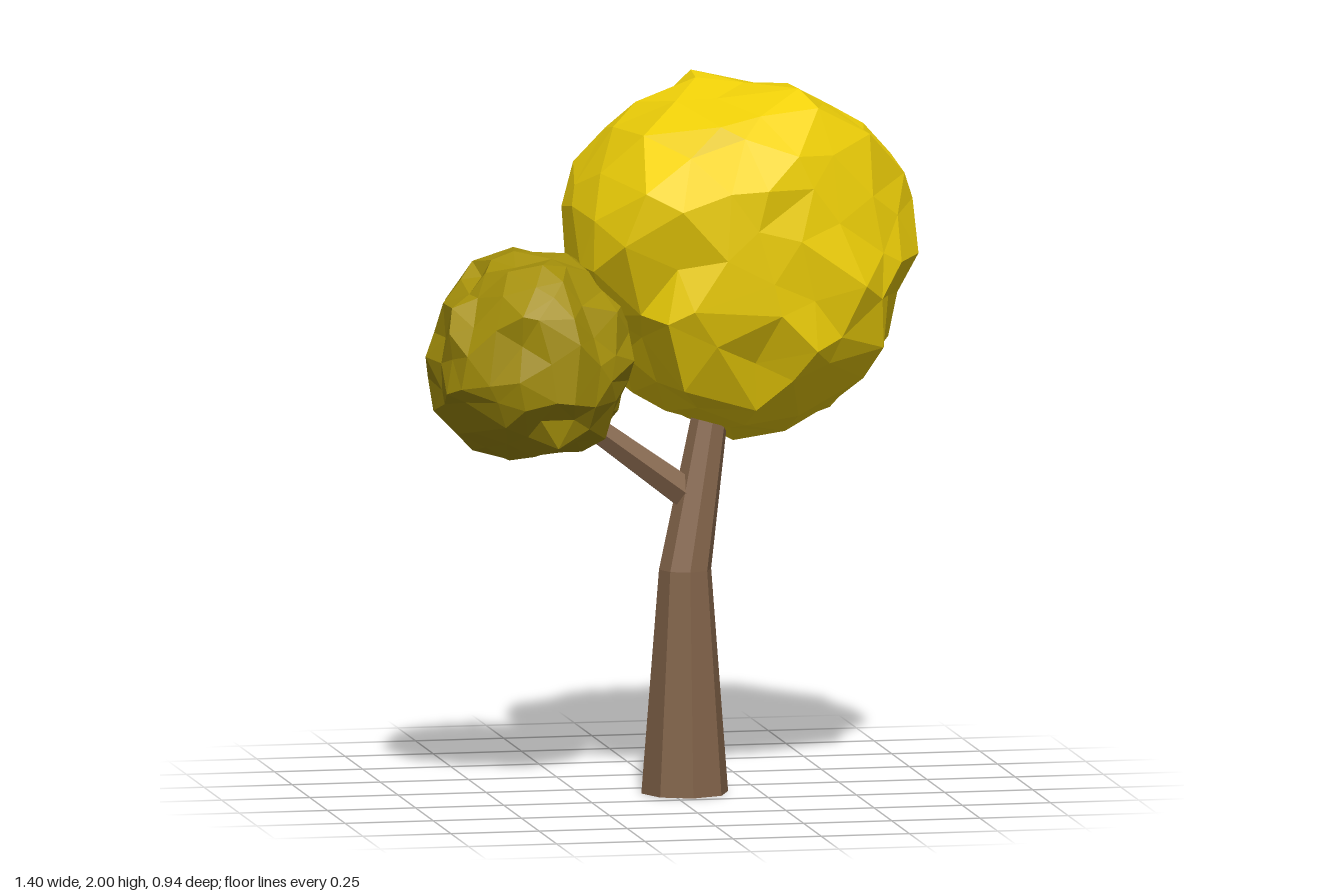
import * as THREE from 'three';
import { mergeVertices } from 'three/addons/utils/BufferGeometryUtils.js';

const flat = (color) => new THREE.MeshStandardMaterial({ color, flatShading: true });

// Small seeded random generator, values in -1..1
function seeded(seed) {
  let s = seed;
  return () => {
    s = (s * 16807) % 2147483647;
    return (s / 2147483647) * 2 - 1;
  };
}

// Faceted foliage ball: an icosphere whose radius follows the nearby tips, with
// jitter kept inside the box min..max; the vertex nearest each tip moves onto it
function crown({ name, color, min, max, seed, jitter, tips }) {
  let geo = new THREE.IcosahedronGeometry(1, 3);
  geo.deleteAttribute('normal');
  geo.deleteAttribute('uv');
  geo = mergeVertices(geo, 1e-3);

  const box = new THREE.Box3(new THREE.Vector3(...min), new THREE.Vector3(...max));
  const center = box.getCenter(new THREE.Vector3());
  const points = tips.map((t) => new THREE.Vector3(...t));
  const rays = points.map((p) => p.clone().sub(center));
  const rand = seeded(seed);
  const pos = geo.attributes.position;
  const v = new THREE.Vector3();

  for (let i = 0; i < pos.count; i++) {
    v.fromBufferAttribute(pos, i);
    let sum = 0;
    let weights = 0;
    for (const ray of rays) {
      const w = Math.exp(12 * (v.dot(ray) / ray.length() - 1));
      sum += w * ray.length();
      weights += w;
    }
    const radius = (0.97 * sum) / weights;
    v.add(new THREE.Vector3(rand(), rand(), rand()).multiplyScalar(jitter));
    v.multiplyScalar(radius).add(center);
    box.clampPoint(v, v);
    pos.setXYZ(i, v.x, v.y, v.z);
  }

  for (const point of points) {
    let nearest = 0;
    let best = Infinity;
    for (let i = 0; i < pos.count; i++) {
      const d = v.fromBufferAttribute(pos, i).distanceTo(point);
      if (d < best) [best, nearest] = [d, i];
    }
    pos.setXYZ(nearest, point.x, point.y, point.z);
  }
  geo.computeVertexNormals();
  const mesh = new THREE.Mesh(geo, flat(color));
  mesh.name = name;
  return mesh;
}

// Bent tapering trunk, open below: each ring is [x, y, z, radius], top first
function bentTrunk(rings, sides) {
  const geo = new THREE.CylinderGeometry(1, 1, 1, sides, rings.length - 1, true);
  const pos = geo.attributes.position;
  for (let i = 0; i < pos.count; i++) {
    const [x, y, z, r] = rings[Math.round((0.5 - pos.getY(i)) * (rings.length - 1))];
    pos.setXYZ(i, x + pos.getX(i) * r, y, z + pos.getZ(i) * r);
  }
  geo.computeVertexNormals();
  return geo;
}

export function createModel() {
  const tree = new THREE.Group();
  tree.name = 'tree';
  const bark = flat(0x83644a);
  bark.side = THREE.DoubleSide;

  // Trunk, leaning above its bend
  const trunk = new THREE.Mesh(bentTrunk([
    [0.14, 1.15, 0.05, 0.047],
    [0.04, 0.63, 0.12, 0.074],
    [0.042, 0, 0.105, 0.123],
  ], 8), bark);
  trunk.name = 'trunk';
  tree.add(trunk);

  // Side branch reaching into the small crown
  const from = new THREE.Vector3(0.08, 0.815, 0.09);
  const to = new THREE.Vector3(-0.32, 1.11, 0.08);
  const branch = new THREE.Mesh(
    new THREE.CylinderGeometry(0.033, 0.05, from.distanceTo(to), 6), bark);
  branch.position.lerpVectors(from, to, 0.5);
  branch.quaternion.setFromUnitVectors(new THREE.Vector3(0, 1, 0), to.clone().sub(from).normalize());
  branch.name = 'branch';
  tree.add(branch);

  // Foliage
  tree.add(crown({
    name: 'largeCrown', color: 0xefd008, seed: 4127, jitter: 0.07,
    min: [-0.27, 0.97, -0.47], max: [0.7, 2, 0.465],
    tips: [
      [0.1, 2, -0.1], [0.35, 1.98, 0.18], [-0.14, 1.86, 0], [0.57, 1.85, 0], [0.1, 1.9, 0.33],
      [0.2, 1.92, -0.2], [0.45, 1.78, -0.41], [-0.13, 1.73, 0.42], [0.67, 1.72, 0.08],
      [-0.25, 1.7, 0], [0.2, 1.6, -0.4], [0.34, 1.5, -0.47], [0.62, 1.5, -0.27],
      [0.7, 1.5, 0.13], [0.5, 1.45, 0.4], [-0.22, 1.5, -0.25], [-0.08, 1.45, -0.39],
      [-0.27, 1.5, 0.18], [0, 1.4, 0.46], [0.25, 1.38, 0.45], [0.64, 1.25, 0],
      [0.25, 1.12, -0.37], [-0.13, 1.15, 0], [0.2, 1.1, 0.33], [0.4, 1.03, 0], [0.2, 0.97, 0],
    ],
  }));
  tree.add(crown({
    name: 'smallCrown', color: 0xa48f0a, seed: 90211, jitter: 0.08,
    min: [-0.7, 0.96, -0.165], max: [-0.12, 1.54, 0.46],
    tips: [
      [-0.7, 1.25, 0.14], [-0.65, 1.4, 0.14], [-0.45, 1.54, 0.14], [-0.3, 1.53, 0.14],
      [-0.13, 1.2, 0.14], [-0.2, 1.03, 0.14], [-0.48, 0.96, 0.14], [-0.63, 1.05, 0.14],
      [-0.33, 1.28, -0.165], [-0.6, 1.25, -0.08], [-0.34, 1.15, 0.46], [-0.44, 1.39, 0.45],
      [-0.57, 1.2, 0.4], [-0.22, 1.2, 0.38],
    ],
  }));
  return tree;
}
